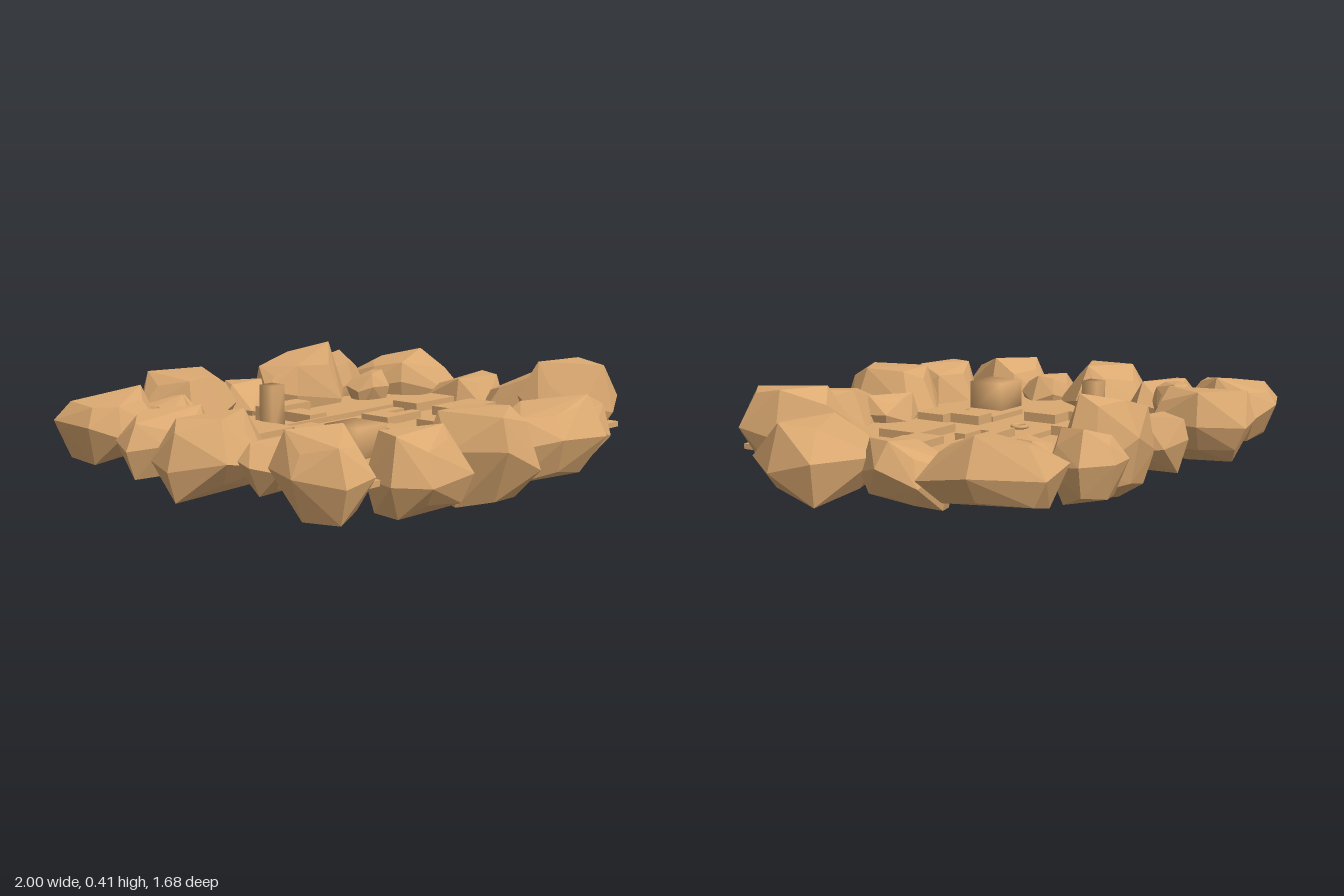
import * as THREE from 'three';
import { ConvexGeometry } from 'three/addons/geometries/ConvexGeometry.js';
import { mergeVertices } from 'three/addons/utils/BufferGeometryUtils.js';

const FLOOR = 0.17, BASE = 0.15, SIDES = 7;
const sandstone = new THREE.MeshStandardMaterial({ color: 0xdba971, side: THREE.DoubleSide });
sandstone.name = 'sandstone';

function seeded(seed) {
  return () => (seed = (seed * 16807) % 2147483647) / 2147483647;
}

// Boulder: hull of an uneven ring fitted to its half sizes, with smaller rings above and below
function boulder(seed, rx, rz, height) {
  const rnd = seeded(seed * 7919 + 13);
  const plan = [];
  for (let i = 0; i < SIDES; i++) {
    const angle = ((i + 0.5 * rnd()) / SIDES) * Math.PI * 2;
    const radius = 0.95 + 0.15 * rnd();
    plan.push(new THREE.Vector2(Math.cos(angle), Math.sin(angle)).multiplyScalar(radius));
  }
  const bounds = new THREE.Box2().setFromPoints(plan);
  const middle = bounds.getCenter(new THREE.Vector2());
  const size = bounds.getSize(new THREE.Vector2());
  const points = [];
  plan.forEach((p, i) => {
    p.sub(middle).divide(size).multiplyScalar(2);
    const ring = (scale, y) => points.push(new THREE.Vector3(p.x * rx * scale, y * height, p.y * rz * scale));
    ring(1, 0.36 + 0.28 * rnd());
    ring(0.55 + 0.3 * rnd(), 1 - (i === 0 ? 0 : 0.26 * rnd()));
    ring(0.55 + 0.3 * rnd(), i === 3 ? 0 : 0.26 * rnd());
  });
  return new ConvexGeometry(points);
}

// Box without its underside
function hollowBlock(w, h, d) {
  const box = new THREE.BoxGeometry(w, h, d);
  const faces = Array.from(box.index.array);
  faces.splice(18, 6);
  box.setIndex(faces);
  box.clearGroups();
  return box;
}

// Block with normals shared across its corners
function softBlock(w, h, d) {
  const box = new THREE.BoxGeometry(w, h, d);
  box.deleteAttribute('normal');
  box.deleteAttribute('uv');
  const geometry = mergeVertices(box);
  geometry.computeVertexNormals();
  return geometry;
}

export function createModel() {
  const model = new THREE.Group();
  const add = (name, geometry, x = 0, y = 0, z = 0) => {
    const mesh = new THREE.Mesh(geometry, sandstone);
    mesh.name = name;
    mesh.position.set(x, y, z);
    model.add(mesh);
    return mesh;
  };

  // Ground slab, pierced beneath each hollow building wing
  const slab = new THREE.Shape();
  slab.moveTo(-0.77, 0.62).lineTo(-0.77, -0.63).lineTo(0.72, -0.63).lineTo(0.72, 0.62);
  const wing = (name, top, x, z, w, d) => {
    const a = w / 2 - 0.003, b = d / 2 - 0.003;
    const hole = new THREE.Path();
    hole.moveTo(x - a, -z - b).lineTo(x + a, -z - b).lineTo(x + a, -z + b).lineTo(x - a, -z + b);
    slab.holes.push(hole);
    add(name, hollowBlock(w, top - BASE, d), x, (top + BASE) / 2, z);
  };
  wing('westHouse', 0.205, -0.405, -0.18, 0.19, 0.2);
  wing('westHouseWing', 0.205, -0.27, -0.03, 0.12, 0.14);
  wing('backHouse', 0.225, -0.07, -0.38, 0.22, 0.08);
  wing('backHouseStem', 0.205, -0.065, -0.27, 0.09, 0.14);
  wing('frontHouse', 0.205, -0.07, 0.32, 0.18, 0.12);
  wing('frontHouseStem', 0.205, -0.075, 0.195, 0.09, 0.13);
  wing('squareHouse', 0.2, 0.235, 0.22, 0.23, 0.18);
  wing('courtHouse', 0.2, 0.12, -0.035, 0.1, 0.13);
  for (const z of [-0.08, 0.005]) wing('courtHouseArm', 0.2, 0.22, z, 0.1, 0.045);
  for (const z of [-0.13, 0.07]) wing('eastHouse', 0.205, 0.39, z, 0.06, 0.12);
  for (const z of [-0.13, 0.075]) wing('eastHouseArm', 0.205, 0.51, z, 0.18, z < 0 ? 0.12 : 0.13);
  const ground = new THREE.ExtrudeGeometry(slab, { depth: FLOOR - BASE, bevelEnabled: false });
  add('groundSlab', ground.rotateX(-Math.PI / 2), 0, BASE, 0);

  // Dividing walls, cube, tower and well
  add('backWall', new THREE.BoxGeometry(0.69, 0.02, 0.012), 0.015, FLOOR + 0.01, -0.195);
  add('frontWall', new THREE.BoxGeometry(0.21, 0.02, 0.012), -0.225, FLOOR + 0.01, 0.13);
  add('cubeHouse', softBlock(0.15, 0.13, 0.15), -0.415, 0.213, 0.305);
  add('tower', softBlock(0.065, 0.192, 0.065), -0.284, 0.244, -0.226);
  add('wellRim', new THREE.TorusGeometry(0.027, 0.008, 8, 24).rotateX(Math.PI / 2), -0.067, FLOOR + 0.008, -0.033);

  // Ring of boulders: centre, half sizes in plan, lowest and highest y, turn
  let seed = 0;
  const rock = (name, x, z, rx, rz, low, high, turn = 0) => {
    add(name + 'Boulder', boulder(++seed, rx, rz, high - low), x, low, z).rotation.y = turn;
  };
  rock('backLeft', -0.735, -0.595, 0.18, 0.195, 0.09, 0.34);
  rock('backFiller', -0.48, -0.585, 0.125, 0.13, 0.1, 0.28);
  rock('backPeak', -0.31, -0.67, 0.15, 0.19, 0.06, 0.35, 0.5);
  rock('backMiddle', -0.06, -0.62, 0.12, 0.13, 0.08, 0.29);
  rock('backLong', 0.215, -0.57, 0.235, 0.13, 0, 0.41);
  rock('backRight', 0.51, -0.67, 0.16, 0.13, 0.06, 0.34, 0.5);
  rock('backPebble', 0.51, -0.46, 0.09, 0.08, 0.13, 0.28);
  rock('rightBack', 0.76, -0.465, 0.15, 0.245, 0.07, 0.34, 0.5);
  rock('rightMiddle', 0.775, -0.145, 0.12, 0.165, 0.05, 0.28);
  rock('rightLarge', 0.795, 0.185, 0.205, 0.225, 0.02, 0.32);
  rock('frontRight', 0.665, 0.435, 0.14, 0.195, 0.02, 0.39, 0.7);
  rock('frontRightFiller', 0.47, 0.59, 0.085, 0.14, 0.06, 0.29);
  rock('frontLong', 0.21, 0.635, 0.235, 0.165, 0.05, 0.32);
  rock('frontPebble', 0.04, 0.5, 0.12, 0.1, 0.1, 0.27);
  rock('frontMiddle', -0.18, 0.63, 0.175, 0.205, 0.02, 0.34);
  rock('frontLeft', -0.5, 0.63, 0.18, 0.155, 0.04, 0.32);
  rock('leftFront', -0.755, 0.46, 0.14, 0.19, 0.04, 0.33);
  rock('leftFiller', -0.755, 0.25, 0.14, 0.1, 0.09, 0.27);
  rock('leftLarge', -0.785, 0.01, 0.215, 0.185, 0.05, 0.33);
  rock('leftBack', -0.75, -0.285, 0.2, 0.12, 0.08, 0.3);
  rock('leftPebble', -0.6, -0.405, 0.12, 0.08, 0.12, 0.31, 0.6);

  return model;
}
